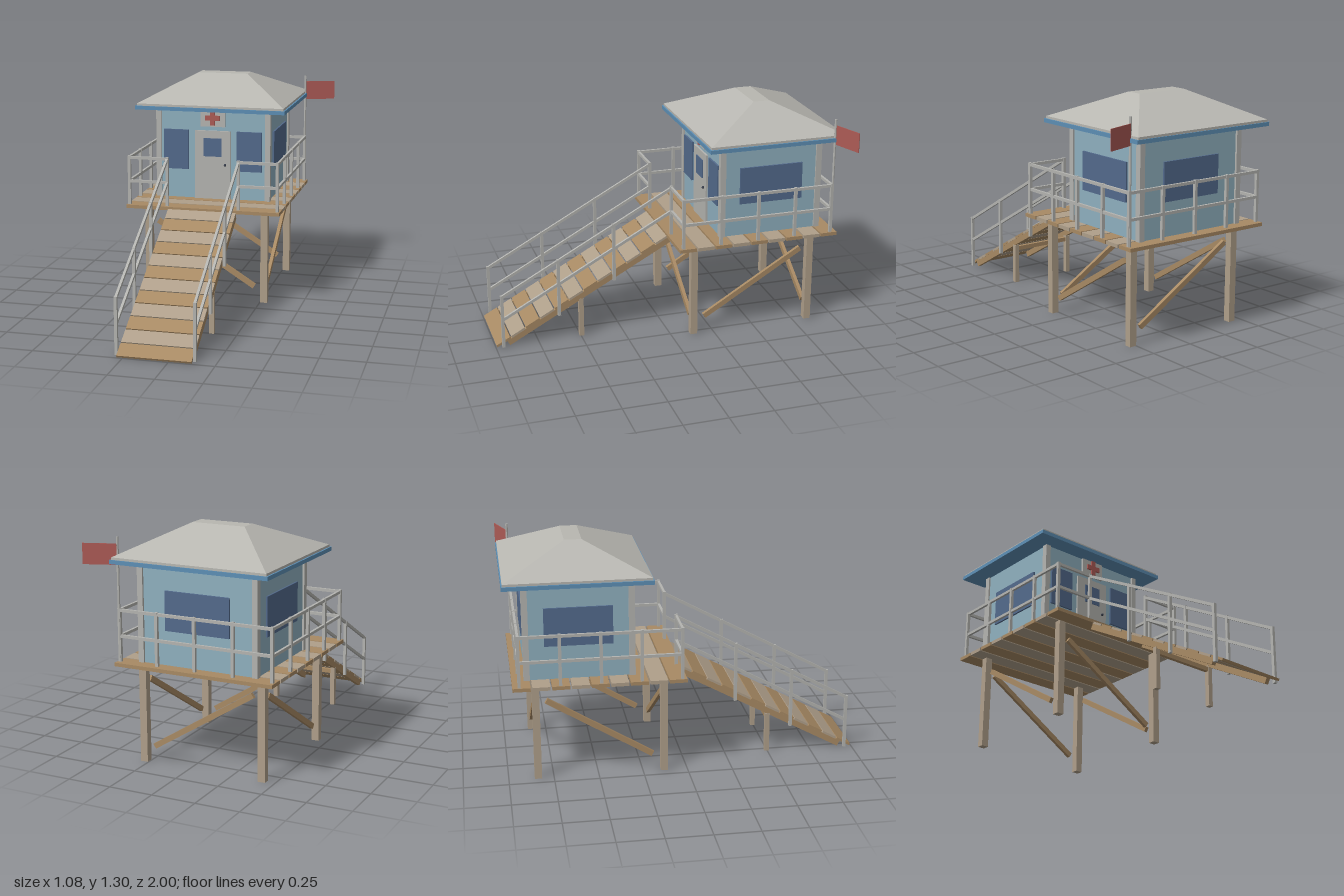
import * as THREE from 'three';

const mat = (color) => new THREE.MeshStandardMaterial({ color, flatShading: true });
const M = {
  wood: mat(0xa88a64), pale: mat(0xaf9f8a), rail: mat(0xb4b4b0), wall: mat(0x8fb0bf), roof: mat(0xb8b7b1),
  eave: mat(0x5d8fb5), glass: mat(0x536a8c), red: mat(0xad5b56), dark: mat(0x3c4250),
};
const CX = -0.08;      // centre line of the hut
const DECK = 0.575;    // deck top
const SLOPE = 0.546;   // rise per unit of stair run
const ANGLE = Math.atan(SLOPE);

function group(parent, name) {
  const g = new THREE.Group();
  g.name = name;
  parent.add(g);
  return g;
}

// Box given by its extents
function box(parent, name, m, x0, x1, y0, y1, z0, z1) {
  const mesh = new THREE.Mesh(new THREE.BoxGeometry(x1 - x0, y1 - y0, z1 - z0), m);
  mesh.position.set((x0 + x1) / 2, (y0 + y1) / 2, (z0 + z1) / 2);
  mesh.name = name;
  parent.add(mesh);
  return mesh;
}

// Rectangular bar between two points: w across, h deep
function bar(parent, name, m, a, b, w, h) {
  const p = new THREE.Vector3(...a), q = new THREE.Vector3(...b);
  const mesh = new THREE.Mesh(new THREE.BoxGeometry(w, h, p.distanceTo(q)), m);
  mesh.position.copy(p).add(q).multiplyScalar(0.5);
  mesh.lookAt(q);
  mesh.name = name;
  parent.add(mesh);
  return mesh;
}

// Hipped roof: stacked rectangles [x half width, z half depth, y]
function roofGeometry(rings) {
  const pos = [], idx = [];
  for (const [x, z, y] of rings) pos.push(-x, y, z, x, y, z, x, y, -z, -x, y, -z);
  for (let r = 0; r < rings.length - 1; r++)
    for (let i = 0; i < 4; i++) {
      const a = r * 4 + i, b = r * 4 + (i + 1) % 4;
      idx.push(a, b, b + 4, a, b + 4, a + 4);
    }
  const t = (rings.length - 1) * 4;
  idx.push(t, t + 1, t + 2, t, t + 2, t + 3);
  const g = new THREE.BufferGeometry();
  g.setAttribute('position', new THREE.Float32BufferAttribute(pos, 3));
  g.setIndex(idx);
  const flat = g.toNonIndexed();
  flat.computeVertexNormals();
  return flat;
}

function buildBase(root) {
  const deck = group(root, 'deck');
  for (let i = 0; i < 9; i++) {
    const z = -0.015 - i * 0.1063;
    box(deck, 'deckPlank', i % 2 ? M.pale : M.wood, -0.54, 0.38, 0.555, DECK, z - 0.097, z);
  }
  const legs = group(root, 'legs');
  for (const x of [-0.431, 0.273])
    for (const z of [-0.13, -0.837])
      box(legs, 'leg', M.pale, x - 0.021, x + 0.021, 0, 0.556, z - 0.02, z + 0.02);
  // One diagonal on each side of the base
  const braces = group(root, 'braces');
  for (const x of [-0.431, 0.273]) bar(braces, 'sideBrace', M.wood, [x, 0.1, -0.195], [x, 0.455, -0.78], 0.02, 0.03);
  for (const z of [-0.13, -0.837]) bar(braces, 'crossBrace', M.wood, [-0.375, 0.463, z], [0.213, 0.093, z], 0.02, 0.03);
}

function buildCabin(root) {
  const cabin = group(root, 'cabin');
  box(cabin, 'walls', M.wall, -0.42, 0.26, DECK, 1.12, -0.885, -0.295);
  for (const x of [-0.43, 0.238])
    for (const z of [-0.897, -0.319])
      box(cabin, 'cornerPost', M.rail, x, x + 0.032, DECK, 1.12, z, z + 0.034);
  // Windows
  box(cabin, 'frontWindow', M.glass, -0.383, -0.23, 0.75, 0.99, -0.3, -0.284);
  box(cabin, 'frontWindow', M.glass, 0.066, 0.218, 0.75, 0.99, -0.3, -0.284);
  box(cabin, 'rightWindow', M.glass, -0.43, -0.41, 0.765, 0.98, -0.78, -0.405);
  box(cabin, 'leftWindow', M.glass, 0.25, 0.27, 0.765, 0.98, -0.78, -0.405);
  box(cabin, 'backWindow', M.glass, CX - 0.187, CX + 0.187, 0.765, 0.98, -0.896, -0.88);
  // Door
  box(cabin, 'door', M.rail, CX - 0.109, CX + 0.109, DECK, 0.99, -0.3, -0.283);
  box(cabin, 'doorWindow', M.glass, CX - 0.055, CX + 0.055, 0.835, 0.945, -0.29, -0.278);
  const knob = new THREE.Mesh(new THREE.SphereGeometry(0.008, 10, 8), M.dark);
  knob.position.set(-0.003, 0.786, -0.277);
  knob.name = 'doorKnob';
  cabin.add(knob);
  // First aid sign
  box(cabin, 'signBoard', M.rail, CX - 0.075, CX + 0.075, 1.015, 1.116, -0.3, -0.281);
  box(cabin, 'crossUpright', M.red, CX - 0.014, CX + 0.014, 1.024, 1.115, -0.285, -0.27);
  box(cabin, 'crossArm', M.red, CX - 0.045, CX + 0.045, 1.054, 1.083, -0.285, -0.2705);
  // Roof
  box(cabin, 'eaves', M.eave, -0.532, 0.372, 1.117, 1.139, -1, -0.19);
  const roof = new THREE.Mesh(roofGeometry([[0.443, 0.398, 1.137], [0.443, 0.398, 1.152], [0.153, 0.048, 1.302]]), M.roof);
  roof.position.set(CX, 0, -0.596);
  roof.name = 'roof';
  cabin.add(roof);
}

function buildRailing(root) {
  const rails = group(root, 'deckRailing');
  const L = -0.525, R = 0.363, F = -0.04, B = -0.926, w = 0.017;
  const post = (x, z) => box(rails, 'railPost', M.rail, x - w / 2, x + w / 2, DECK - 0.01, 0.867, z - w / 2, z + w / 2);
  for (let i = 0; i < 5; i++) {
    const z = F + (B - F) * i / 4;
    post(L, z);
    post(R, z);
    if (i > 0 && i < 4) post(L + (R - L) * i / 4, B);
  }
  for (const x of [-0.295, 0.133]) post(x, F);
  const runs = [[L, F, L, B], [R, F, R, B], [L, B, R, B], [L, F, -0.295, F], [0.133, F, R, F]];
  for (const [x0, z0, x1, z1] of runs)
    for (const y of [0.856, 0.715]) bar(rails, 'rail', M.rail, [x0, y, z0], [x1, y, z1], 0.014, 0.016);
}

function buildStairs(root) {
  const stairs = group(root, 'stairs');
  const top = (z) => 0.01 + (1 - z) * SLOPE;
  // Sloping planks in two alternating woods
  for (let i = 0; i < 12; i++) {
    const z = -0.03 + 0.0858 * (i + 0.5);
    const tread = box(stairs, 'tread', i % 2 ? M.wood : M.pale, -0.285, 0.123, -0.013, 0, -0.0455, 0.0455);
    tread.rotation.x = ANGLE;
    tread.position.set(CX, top(z) - 0.0075, z - 0.003);
  }
  for (const x of [-0.272, 0.11]) {
    bar(stairs, 'stringer', M.wood, [x, top(0.925) - 0.035, 0.925], [x, top(-0.03) - 0.035, -0.03], 0.025, 0.034);
    box(stairs, 'stairLeg', M.pale, x - 0.0135, x + 0.0135, 0, 0.235, 0.482, 0.509);
  }
  box(stairs, 'stairCrossbeam', M.wood, -0.272, 0.11, 0.2, 0.225, 0.485, 0.506);
  // Handrails on both sides
  const zs = [0.956, 0.628, 0.302];
  for (const x of [-0.295, 0.133]) {
    for (const z of zs) {
      const y = 0.32 + (0.956 - z) * SLOPE;
      box(stairs, 'handrailPost', M.rail, x - 0.0085, x + 0.0085, Math.max(0, y - 0.345), y, z - 0.0085, z + 0.0085);
    }
    for (const y of [0.311, 0.17])
      bar(stairs, 'handrail', M.rail, [x, y, 0.956], [x, y + 0.996 * SLOPE, -0.04], 0.014, 0.016);
  }
}

function buildFlag(root) {
  const flag = group(root, 'flag');
  const pole = new THREE.Mesh(new THREE.CylinderGeometry(0.007, 0.007, 0.675, 8), M.rail);
  pole.position.set(0.363, DECK + 0.3375, -0.93);
  pole.name = 'flagPole';
  flag.add(pole);
  bar(flag, 'flagCloth', M.red, [0.366, 1.157, -0.935], [0.537, 1.157, -0.995], 0.004, 0.113);
}

export function createModel() {
  const root = new THREE.Group();
  root.name = 'beachLookoutHut';
  buildBase(root);
  buildCabin(root);
  buildRailing(root);
  buildStairs(root);
  buildFlag(root);
  return root;
}
